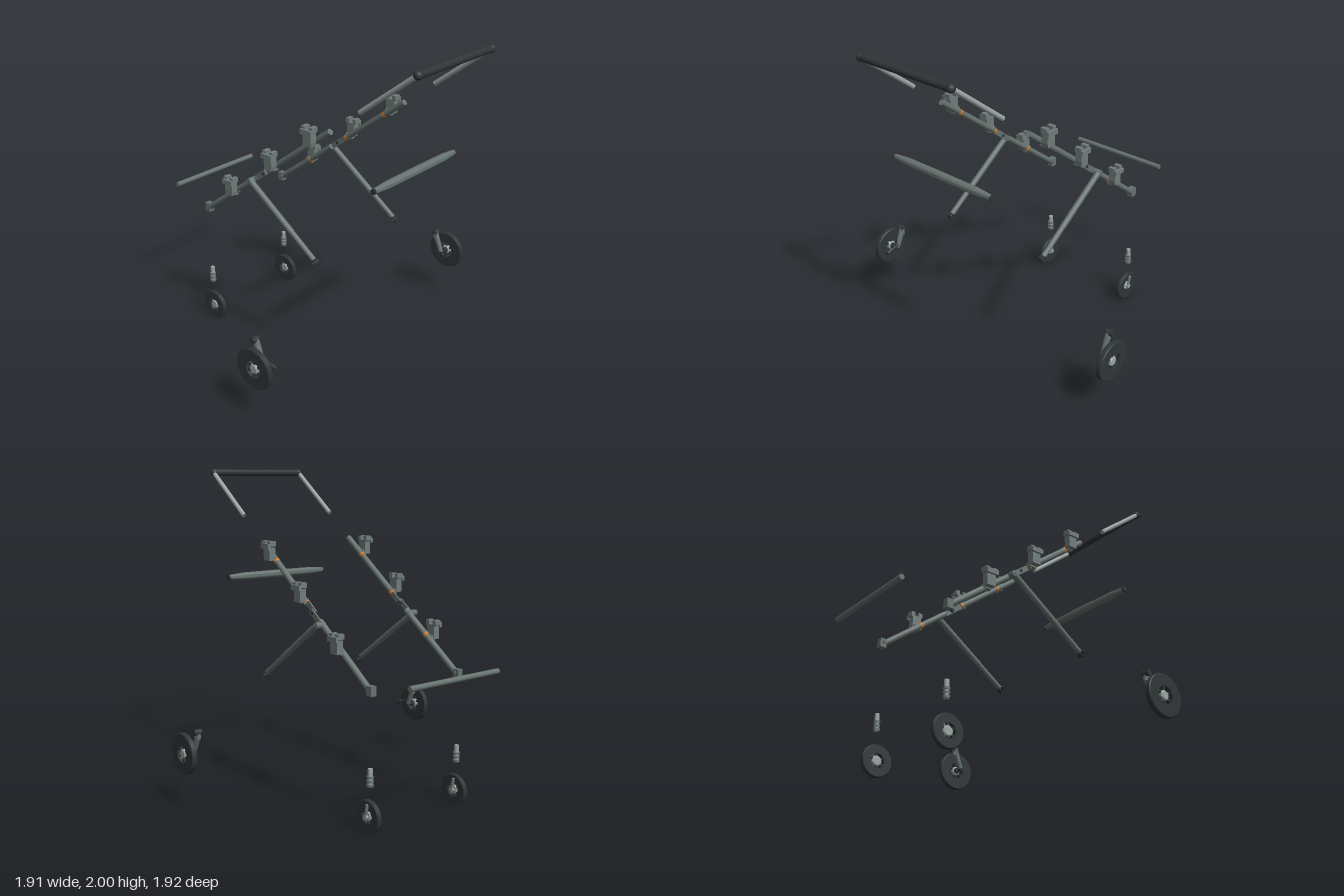
import * as THREE from 'three';
import { toCreasedNormals } from 'three/addons/utils/BufferGeometryUtils.js';

const mat = (name, color) => Object.assign(new THREE.MeshStandardMaterial({ color }), { name });

export function createModel() {
  const frame = mat('frame grey', 0x66726f);
  const plastic = mat('bracket grey', 0x707c7a);
  const dark = mat('grip black', 0x2f3537);
  const steel = mat('pale steel', 0x9ba5a3);
  const accent = mat('orange', 0xd07a28);
  const root = new THREE.Group();
  root.name = 'explodedTrolleyFrame';

  const V = (p) => new THREE.Vector3(...p);
  function add(name, geometry, material, pos = [0, 0, 0], parent = root) {
    const m = new THREE.Mesh(geometry, material);
    m.name = name;
    m.position.set(...pos);
    parent.add(m);
    return m;
  }
  // Round bar between two points
  function rod(name, a, b, r, material, parent = root, r2 = r) {
    const A = V(a), d = V(b).sub(A);
    const m = add(name, new THREE.CylinderGeometry(r2, r, d.length(), 20), material, [0, 0, 0], parent);
    m.position.copy(A).addScaledVector(d, 0.5);
    m.quaternion.setFromUnitVectors(new THREE.Vector3(0, 1, 0), d.normalize());
    return m;
  }
  // Solid of revolution around z from [radius, height] pairs
  function latheZ(points, segments = 40) {
    const g = new THREE.LatheGeometry(points.map((p) => new THREE.Vector2(...p)), segments);
    return toCreasedNormals(g.rotateX(Math.PI / 2), 0.6);
  }
  const rectRing = (ri, ro, h, c = 0.005) => latheZ([
    [ri, -h], [ro - c, -h], [ro, -h + c], [ro, h - c], [ro - c, h], [ri, h], [ri, -h]]);

  function wheel(name, R, ri, h, hubR, pos) {
    const g = new THREE.Group();
    g.name = name;
    g.position.set(...pos);
    root.add(g);
    add('tyre', rectRing(ri, R, h), dark, [0, 0, 0], g);
    add('hub', latheZ([[0, -h * 0.9], [hubR * 0.8, -h * 0.9], [hubR, -h * 0.5],
      [hubR, h * 0.5], [hubR * 0.8, h * 0.9], [0, h * 0.9]], 24), steel, [0, 0, 0], g);
    for (let i = 0; i < 6; i++) {
      const a = (i + 0.5) * Math.PI / 3, c = Math.cos(a), s = Math.sin(a);
      const m = add('spoke', new THREE.BoxGeometry(ri - hubR + 0.012, hubR * 0.45, h), dark,
        [c * (ri + hubR) / 2, s * (ri + hubR) / 2, 0], g);
      m.rotation.z = a;
    }
    return g;
  }

  // Push handle: dark grip and two arms
  rod('handleGrip', [0.925, 1.98, -0.335], [0.925, 1.98, 0.335], 0.022, dark);
  // Spindle-shaped rear crossbar
  add('rearCrossbar', latheZ([[0, -0.387], [0.013, -0.387], [0.016, -0.37], [0.024, -0.27],
    [0.025, 0], [0.024, 0.27], [0.016, 0.37], [0.013, 0.387], [0, 0.387]], 24), frame, [0.708, 1.317, 0]);
  for (const s of [-1, 1]) {
    add('crossbarEndCap', latheZ([[0, -0.006], [0.017, -0.006], [0.017, 0.006], [0, 0.006]], 20), dark,
      [0.708, 1.317, s * 0.384]);
  }
  rod('frontCrossbar', [-0.94, 0.88, -0.342], [-0.94, 0.88, 0.342], 0.016, frame);

  // Bracket face with a notched top, origin at its middle
  const face = new THREE.Shape([[-0.03, -0.058], [0.026, -0.058], [0.03, -0.035], [0.03, 0.022], [0.04, 0.028],
    [0.04, 0.058], [0.014, 0.058], [0.014, 0.032], [-0.014, 0.032], [-0.014, 0.058],
    [-0.04, 0.058], [-0.04, 0.028], [-0.03, 0.022]].map((p) => new THREE.Vector2(...p)));
  const bracketGeo = new THREE.ExtrudeGeometry(face, { depth: 0.044, bevelEnabled: false }).translate(0, 0, -0.022);
  const railY = (x) => 0.805 + (x + 0.64) * 0.745;
  const railAngle = Math.atan(0.745);

  for (const s of [-1, 1]) {
    const z = s * 0.339;
    // Handle arms and end joints
    rod('handleArm', [0.575, 1.714, s * 0.343], [0.925, 1.98, s * 0.343], 0.0145, steel);
    add('handleJoint', new THREE.SphereGeometry(0.025, 20, 14), dark, [0.925, 1.98, s * 0.338]);

    // Side rail in two lengths with a stepped hinge between
    const at = (x, zz = z) => [x, railY(x), zz];
    rod('lowerRail', at(-0.64), at(-0.19), 0.0185, frame);
    rod('upperRail', at(-0.07), at(0.372), 0.0185, frame);
    for (const [x, w, zz] of [[-0.165, 0.12, 0.349], [-0.095, 0.11, 0.333]]) {
      const p = add('hingePlate', new THREE.BoxGeometry(w, 0.034, 0.01), frame, at(x, s * zz));
      p.rotation.z = railAngle;
    }
    rod('hingePin', at(-0.135, s * 0.325), at(-0.135, s * 0.357), 0.01, dark);

    // Caster socket at the low end of the rail
    add('casterSocket', new THREE.BoxGeometry(0.042, 0.056, 0.038), frame, [-0.637, 0.813, z]);
    rod('socketBoss', [-0.63, 0.82, s * 0.312], [-0.63, 0.82, s * 0.33], 0.012, frame);

    // Seat brackets with orange locking bands on the rail
    for (const [x, y, bandX] of [[-0.388, 1.042, -0.368], [-0.05, 1.297, -0.062], [0.253, 1.517, 0.23]]) {
      add('seatBracket', bracketGeo, plastic, [x, y, s * 0.378]);
      add('bracketLip', new THREE.BoxGeometry(0.08, 0.03, 0.018), plastic, [x, y + 0.028, s * 0.405]);
      add('bracketClamp', new THREE.BoxGeometry(0.05, 0.03, 0.03), plastic, [x, railY(x), s * 0.352]);
      rod('lockingBand', at(bandX - 0.007), at(bandX + 0.007), 0.0195, accent);
    }

    // Rear leg, two tube sizes, with an open collar at the foot
    const zl = s * 0.381;
    rod('rearLegUpper', [-0.215, 1.125, zl], [0.12, 0.885, zl], 0.0185, frame);
    rod('rearLegLower', [0.12, 0.885, zl], [0.288, 0.765, zl], 0.0165, frame);
    rod('legPivot', [-0.215, 1.122, s * 0.33], [-0.215, 1.122, s * 0.395], 0.019, frame);
    add('legCollar', rectRing(0.013, 0.018, 0.018, 0.002), dark, [0.298, 0.754, zl]);

    // Front caster pin with ribbed lower end
    rod('casterPin', [-0.637, 0.27, s * 0.343], [-0.637, 0.375, s * 0.343], 0.014, steel);
    for (const y of [0.279, 0.302, 0.325]) {
      rod('casterPinRib', [-0.637, y - 0.007, s * 0.343], [-0.637, y + 0.007, s * 0.343], 0.02, frame);
    }

    // Front wheel with its side fork, same side on both wheels
    wheel('frontWheel', 0.095, 0.043, 0.015, 0.03, [-0.626, 0.097, s * 0.343]);
    const fz = s * 0.343 - 0.022;
    rod('frontFork', [-0.626, 0.097, fz], [-0.637, 0.17, fz], 0.009, plastic);
    rod('frontAxle', [-0.626, 0.097, fz - 0.008], [-0.626, 0.097, fz + 0.03], 0.014, steel);

    // Rear wheel and axle stub
    wheel('rearWheel', 0.125, 0.053, 0.017, 0.03, [0.35, 0.34, s * 0.943]);
    rod('rearAxle', [0.35, 0.34, s * 0.905], [0.35, 0.34, s * 0.93], 0.02, dark);
    rod('axlePin', [0.35, 0.34, s * 0.868], [0.35, 0.34, s * 0.91], 0.01, dark);

    // Rear wheel mount with knob
    rod('wheelMount', [0.295, 0.47, s * 0.877], [0.345, 0.345, s * 0.877], 0.02, frame, root, 0.015);
    rod('mountStem', [0.295, 0.43, s * 0.877], [0.295, 0.485, s * 0.877], 0.015, frame);
    rod('mountKnob', [0.295, 0.472, s * 0.86], [0.295, 0.472, s * 0.908], 0.018, dark);
  }

  // Brake pedal on the left rear wheel
  rod('brakePedal', [0.34, 0.37, 0.872], [0.425, 0.345, 0.872], 0.009, dark);
  rod('brakePedalTip', [0.41, 0.35, 0.872], [0.443, 0.34, 0.872], 0.014, dark);
  return root;
}
